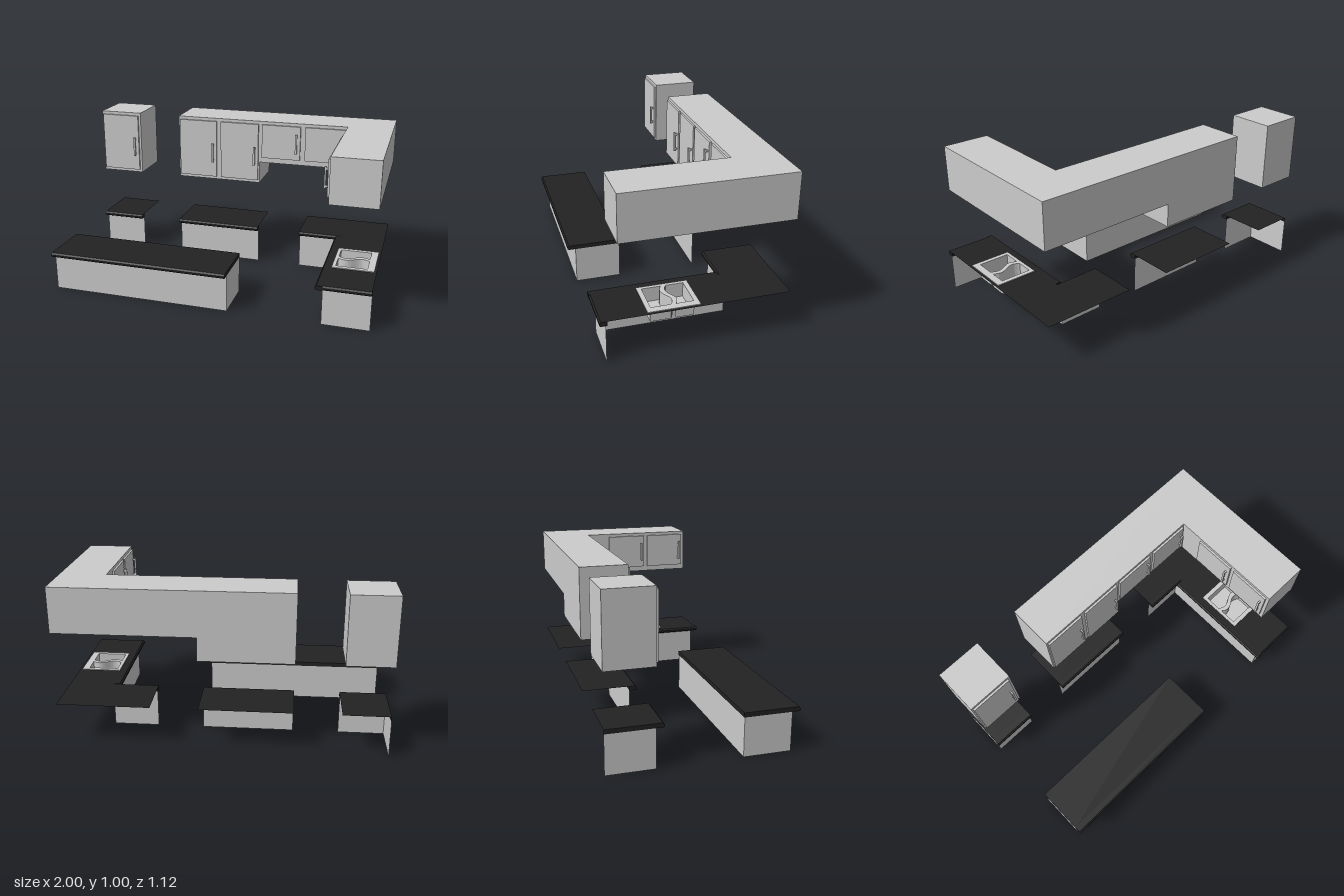
import * as THREE from 'three';

const grey = new THREE.MeshStandardMaterial({ color: 0xcccccc });
const greyThin = new THREE.MeshStandardMaterial({ color: 0xcccccc, side: THREE.DoubleSide });
const dark = new THREE.MeshStandardMaterial({ color: 0x222222, side: THREE.DoubleSide });

const BACK = -0.56, FACE = -0.275, WING = 0.715;
const TOP = 0.262, UNDER = 0.235;

function add(parent, name, geometry, material) {
  const mesh = new THREE.Mesh(geometry, material);
  mesh.name = name;
  parent.add(mesh);
  return mesh;
}

// Box given by its two opposite corners
function block(parent, name, [x0, y0, z0], [x1, y1, z1], material = grey) {
  const g = new THREE.BoxGeometry(x1 - x0, y1 - y0, z1 - z0);
  g.translate((x0 + x1) / 2, (y0 + y1) / 2, (z0 + z1) / 2);
  return add(parent, name, g, material);
}

// Upright thin panel between two floor points
function panel(parent, name, [x0, z0], [x1, z1], y1 = UNDER) {
  const g = new THREE.PlaneGeometry(Math.hypot(x1 - x0, z1 - z0), y1);
  g.rotateY(-Math.atan2(z1 - z0, x1 - x0));
  g.translate((x0 + x1) / 2, y1 / 2, (z0 + z1) / 2);
  add(parent, name, g, greyThin);
}

// Floor plan outline from [x, z] pairs
const plan = (points, Kind = THREE.Shape) => new Kind(points.map(([x, z]) => new THREE.Vector2(x, -z)));
const rect = (x0, z0, x1, z1) => [[x0, z1], [x1, z1], [x1, z0], [x0, z0]];

function flat(shape, y) {
  return new THREE.ShapeGeometry(shape).rotateX(-Math.PI / 2).translate(0, y, 0);
}

function slab(shape, y0, y1) {
  return new THREE.ExtrudeGeometry(shape, { depth: y1 - y0, bevelEnabled: false })
    .rotateX(-Math.PI / 2).translate(0, y0, 0);
}

// Worktop nosing: bevelled profile swept along an edge
function nosing(parent, length, x, z, angle) {
  const profile = new THREE.Shape([[0, 0.235], [0.038, 0.235], [0.045, 0.241], [0.045, 0.252], [0.036, TOP], [0, TOP]]
    .map(([u, v]) => new THREE.Vector2(u, v)));
  const g = new THREE.ExtrudeGeometry(profile, { depth: length, bevelEnabled: false });
  const mesh = add(parent, 'worktopNosing', g, dark);
  mesh.rotation.y = angle;
  mesh.position.set(x, 0, z);
}
const TO_FRONT = -Math.PI / 2, TO_SIDE = Math.PI;

// Door with a bar handle, built facing +z with its lower left corner at the origin
function door(parent, w, h, handleY) {
  const g = new THREE.Group();
  g.name = 'cabinetDoor';
  block(g, 'doorPanel', [0, 0, 0], [w, h, 0.013]);
  const hx = w - 0.024;
  block(g, 'handleBar', [hx - 0.006, handleY, 0.026], [hx + 0.006, handleY + 0.13, 0.036]);
  for (const y of [handleY + 0.008, handleY + 0.11]) {
    block(g, 'handlePost', [hx - 0.005, y, 0.013], [hx + 0.005, y + 0.012, 0.028]);
  }
  parent.add(g);
  return g;
}

function wallCabinets() {
  const g = new THREE.Group();
  g.name = 'wallCabinets';
  block(g, 'singleWallCabinet', [-1, 0.575, BACK], [-0.715, 1, FACE]);
  block(g, 'tallWallCabinetBase', [-0.43, 0.575, BACK], [0.14, 0.72, FACE]);
  const corner = plan([[-0.43, BACK], [-0.43, FACE], [WING, FACE], [WING, 0.44], [1, 0.44], [1, BACK]]);
  add(g, 'cornerWallCabinet', slab(corner, 0.72, 1), grey);

  for (const x of [-0.99, -0.42, -0.13]) {
    door(g, 0.26, 0.385, 0.105).position.set(x, 0.595, FACE);
  }
  for (const x of [0.155, 0.445]) {
    door(g, 0.258, 0.225, 0.045).position.set(x, 0.755, FACE);
  }
  // Doors on the inner side of the wing
  for (const z of [-0.125, 0.16]) {
    const d = door(g, 0.26, 0.225, 0.045);
    d.rotation.y = -Math.PI / 2;
    d.position.set(WING, 0.755, z);
  }
  return g;
}

function baseUnits() {
  const g = new THREE.Group();
  g.name = 'baseUnits';
  // Left unit
  panel(g, 'leftUnitFront', [-1, FACE], [-0.715, FACE]);
  panel(g, 'leftUnitSide', [-1, BACK], [-1, FACE]);
  add(g, 'leftWorktop', flat(plan(rect(-1, BACK, -0.715, FACE)), TOP), dark);
  block(g, 'leftWorktopEdge', [-1, UNDER, BACK], [-0.996, TOP - 0.001, FACE], dark);
  nosing(g, 0.285, -0.715, FACE, TO_FRONT);
  // Middle unit
  panel(g, 'middleUnitFront', [-0.43, FACE], [0.14, FACE]);
  add(g, 'middleWorktop', flat(plan(rect(-0.43, BACK, 0.14, FACE)), TOP), dark);
  nosing(g, 0.57, 0.14, FACE, TO_FRONT);
  // Corner unit with a sink cut-out
  panel(g, 'cornerUnitFront', [0.43, FACE], [WING, FACE]);
  panel(g, 'wingFront', [WING, FACE], [WING, 0.51]);
  panel(g, 'wingEnd', [WING, 0.51], [1, 0.51]);
  const top = plan([[0.43, BACK], [0.43, FACE], [WING, FACE], [WING, 0.5], [1, 0.5], [1, BACK]]);
  top.holes.push(plan(rect(0.74, -0.015, 0.96, 0.26), THREE.Path));
  add(g, 'cornerWorktop', flat(top, TOP), dark);
  nosing(g, 0.285, WING, FACE, TO_FRONT);
  nosing(g, 0.775, 0.72, 0.545, TO_SIDE);
  nosing(g, 0.285, 1, 0.5, TO_FRONT);
  return g;
}

function island() {
  const g = new THREE.Group();
  g.name = 'island';
  const corners = [[-1, 0.225], [0.14, 0.225], [0.14, 0.51], [-1, 0.51]];
  corners.forEach((c, i) => panel(g, 'islandPanel', c, corners[(i + 1) % 4]));
  block(g, 'islandWorktop', [-1, UNDER, 0.222], [0.14, TOP, 0.515], dark);
  nosing(g, 1.14, 0.14, 0.515, TO_FRONT);
  return g;
}

// Double sink with a curved wall between the bowls
function sink() {
  const g = new THREE.Group();
  g.name = 'sink';
  const x0 = 0.748, x1 = 0.945, n = 12;
  const divider = offset => Array.from({ length: n + 1 }, (_, i) =>
    [x0 + (x1 - x0) * i / n, 0.117 + offset + 0.02 * Math.sin(Math.PI * 2 * i / n)]);
  const bowls = [
    inset => [[x1 - inset, -0.005 + inset], [x0 + inset, -0.005 + inset], ...divider(-0.012 - inset)],
    inset => [[x1 - inset, 0.25 - inset], [x0 + inset, 0.25 - inset], ...divider(0.012 + inset)],
  ];
  const clampX = (pts, inset) => pts.map(([x, z]) =>
    [Math.min(x1 - inset, Math.max(x0 + inset, x)), z]);
  const rim = plan(rect(0.73, -0.03, 0.985, 0.275));
  for (const outline of bowls) {
    const inner = clampX(outline(0.003), 0.003);
    const wall = plan(outline(0));
    wall.holes.push(plan(inner, THREE.Path));
    add(g, 'bowlWall', slab(wall, 0.176, 0.262), greyThin);
    add(g, 'bowlFloor', flat(plan(outline(0)), 0.176), greyThin);
    rim.holes.push(plan(inner, THREE.Path));
  }
  add(g, 'sinkRim', slab(rim, 0.262, 0.267), greyThin);
  return g;
}

export function createModel() {
  const model = new THREE.Group();
  model.name = 'kitchen';
  model.add(wallCabinets(), baseUnits(), island(), sink());
  return model;
}
